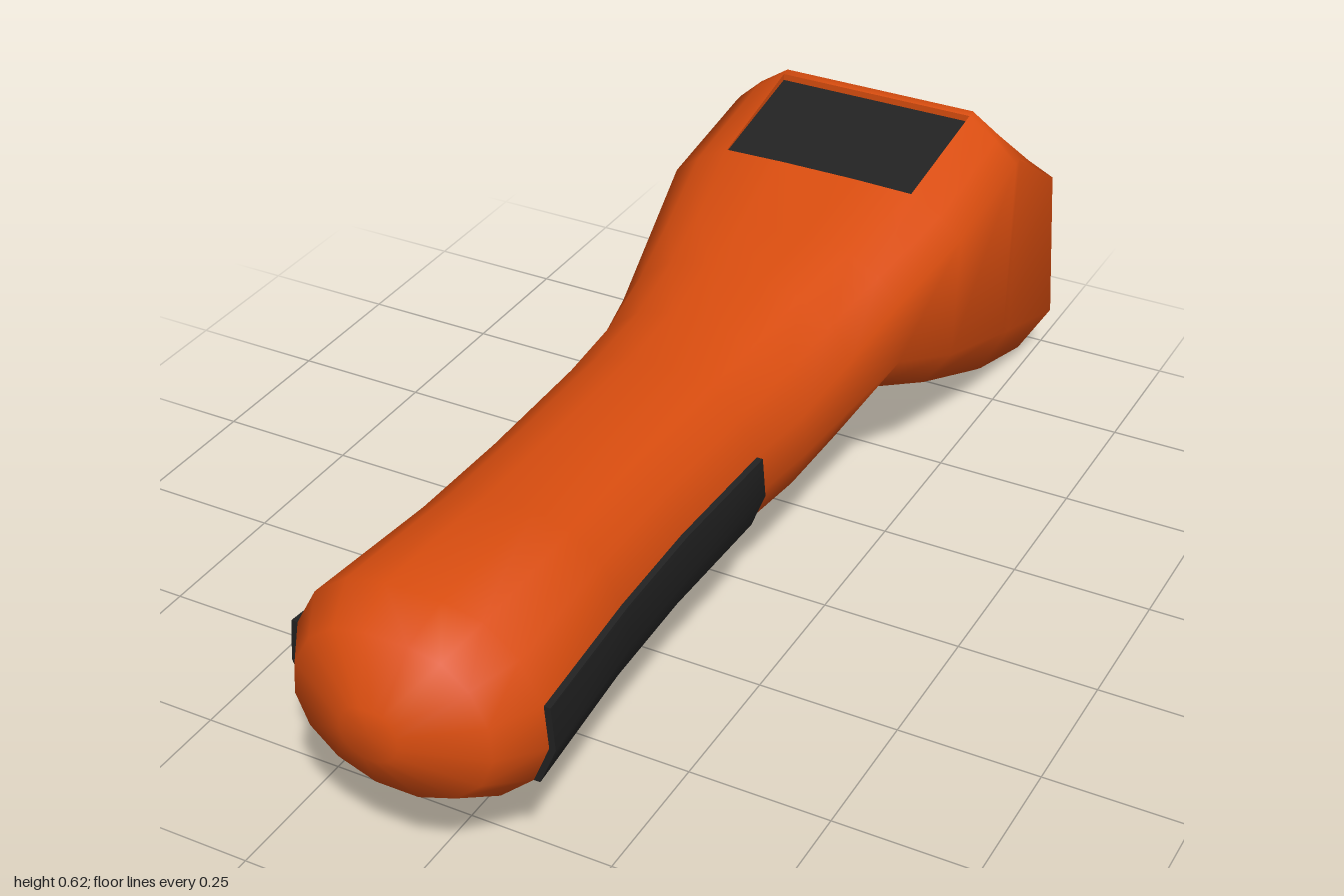
import * as THREE from 'three';
import { toCreasedNormals } from 'three/addons/utils/BufferGeometryUtils.js';

const mat = (color) => new THREE.MeshStandardMaterial({ color, side: THREE.DoubleSide });
const orange = mat(0xd94d0f), black = mat(0x222222), grey = mat(0xaaaaaa);

// Half cross-sections from top to bottom: [x / half width, y / half height]
const HANDLE = [[.22, 1], [.53, .92], [.8, .67], [.97, .28], [1, -.14], [.87, -.53], [.6, -.83], [.22, -1]];
const HEAD = [[.25, 1], [.66, 1], [.85, .87], [1, .73], [1, -.56], [.82, -.91], [.6, -.95], [.22, -1]];
const BACK = [[.25, 1], [.7, 1], [.9, .95], [1, .8], [1, -.6], [1, -1], [.6, -1], [.22, -1]];

// Body stations: [z top, y top, z bottom, y bottom, half width, blend to head, rearward bow]
const STATIONS = [
  [1, .39, 1, .30, .05, 0, 0],
  [.94, .475, .94, .2, .17, 0, 0],
  [.865, .51, .865, .153, .218, 0, 0],
  [.6, .5, .6, .163, .196, 0, 0],
  [.4, .5, .4, .165, .19, 0, 0],
  [.15, .5, .15, .163, .195, 0, 0],
  [0, .505, 0, .153, .208, 0, 0],
  [-.14, .525, -.14, .183, .226, .12, 0],
  [-.28, .54, -.28, .24, .25, .4, 0],
  [-.46, .573, -.43, .185, .283, .85, 0],
  [-.70, .618, -.69, .073, .283, 1, 0],
  [-.715, .621, -.72, .06, .283, 1, 0],
  [-.86, .49, -.91, .003, .283, 1, .07],
];
const REAR = { top: [-.94, .41], bottom: [-1, .13], w: .2 };
const GRIP_STATIONS = [2, 3, 4, 5], SCREEN = 9;

const mirrorHalf = (half) => [...half, ...[...half].reverse().map(([x, y]) => [-x, y])];

function ring([zt, yt, zb, yb, w, blend, bow], shape) {
  const half = shape || HANDLE.map(([x, v], i) => [
    x + (HEAD[i][0] - x) * blend, v + (HEAD[i][1] - v) * blend]);
  return mirrorHalf(half).map(([x, v]) => new THREE.Vector3(
    x * w, (yt + yb) / 2 + v * (yt - yb) / 2, (zt + zb) / 2 + v * (zt - zb) / 2 - bow * (1 - v * v)));
}

// Skin between loops of points, with optional end caps and skipped quads
function loft(rings, { closed = true, capStart = false, capEnd = false, skip = () => false } = {}) {
  const pos = [], n = rings[0].length;
  const tri = (...p) => p.forEach((v) => pos.push(v.x, v.y, v.z));
  for (let i = 0; i < rings.length - 1; i++) {
    for (let j = 0; j < (closed ? n : n - 1); j++) {
      if (skip(i, j)) continue;
      const k = (j + 1) % n, a = rings[i], b = rings[i + 1];
      tri(a[j], a[k], b[j]);
      tri(a[k], b[k], b[j]);
    }
  }
  const cap = (r, flip) => {
    const c = r.reduce((s, p) => s.add(p), new THREE.Vector3()).divideScalar(n);
    r.forEach((p, j) => (flip ? tri(c, p, r[(j + 1) % n]) : tri(c, r[(j + 1) % n], p)));
  };
  if (capStart) cap(rings[0], false);
  if (capEnd) cap(rings[rings.length - 1], true);
  const g = new THREE.BufferGeometry();
  g.setAttribute('position', new THREE.Float32BufferAttribute(pos, 3));
  return toCreasedNormals(g, 0.95);
}

function rectPath(w, h, Type) {
  const p = new Type();
  p.moveTo(-w / 2, -h / 2).lineTo(w / 2, -h / 2).lineTo(w / 2, h / 2).lineTo(-w / 2, h / 2).closePath();
  return p;
}

export function createModel() {
  const model = new THREE.Group();
  model.name = 'handheldScanner';
  const add = (name, geometry, material, parent = model) => {
    const m = new THREE.Mesh(geometry, material);
    m.name = name;
    parent.add(m);
    return m;
  };

  // Body shell: handle, neck and head, left open under the screen
  const rings = STATIONS.map((s) => ring(s));
  rings.push(ring([...REAR.top, ...REAR.bottom, REAR.w, 1, 0], BACK));
  add('body', loft(rings, {
    capStart: true,
    skip: (i, j) => i === SCREEN && (j === 0 || j >= 14),
  }), orange);

  // Screen sunk into the top of the head, with its recess walls
  const edge = (r) => [14, 15, 0, 1].map((j) => r[j]);
  const lower = (pts, d) => pts.map((p) => p.clone().setY(p.y - d));
  const front = edge(rings[SCREEN]), rear = edge(rings[SCREEN + 1]);
  const frontLow = lower(front, .003), rearLow = lower(rear, .012);
  add('screen', loft([frontLow, rearLow], { closed: false }), black);
  const rim = [...front, ...[...rear].reverse()];
  const rimLow = [...frontLow, ...[...rearLow].reverse()];
  add('screenRecess', loft([rim, rimLow]), orange);

  // Side grips following the handle
  for (const side of [1, -1]) {
    const loops = GRIP_STATIONS.map((i) => {
      const pts = [3, 4, 5].map((j) => rings[i][j]);
      const shift = (d) => pts.map((p) => new THREE.Vector3(side * (p.x + d), p.y, p.z));
      const loop = [...shift(.011), ...shift(-.01).reverse()];
      return side > 0 ? loop : loop.reverse();
    });
    add(side > 0 ? 'leftGrip' : 'rightGrip', loft(loops, { capStart: true, capEnd: true }), black);
  }

  // Rear face with the scan window
  const dy = REAR.top[1] - REAR.bottom[1], dz = REAR.top[0] - REAR.bottom[0];
  const half = Math.hypot(dy, dz) / 2;
  const rearFace = new THREE.Group();
  rearFace.name = 'rearFace';
  rearFace.position.set(0, (REAR.top[1] + REAR.bottom[1]) / 2, (REAR.top[0] + REAR.bottom[0]) / 2);
  rearFace.rotation.set(-Math.atan2(dz, dy), Math.PI, 0, 'YXZ');
  model.add(rearFace);

  const panel = new THREE.Shape(mirrorHalf(BACK).map(([x, v]) => new THREE.Vector2(x * REAR.w, v * half)));
  const opening = rectPath(.36, .11, THREE.Path);
  panel.holes.push(new THREE.Path(opening.getPoints().map((p) => p.setY(p.y - .01))));
  add('rearPanel', new THREE.ShapeGeometry(panel), orange, rearFace);

  const frameShape = rectPath(.38, .125, THREE.Shape);
  frameShape.holes.push(rectPath(.325, .08, THREE.Path));
  const frame = new THREE.ExtrudeGeometry(frameShape, { depth: .045, bevelEnabled: false });
  add('windowFrame', frame, black, rearFace).position.set(0, -.01, -.03);
  add('scanWindow', new THREE.BoxGeometry(.33, .085, .01), grey, rearFace).position.set(0, -.01, -.02);

  return model;
}
